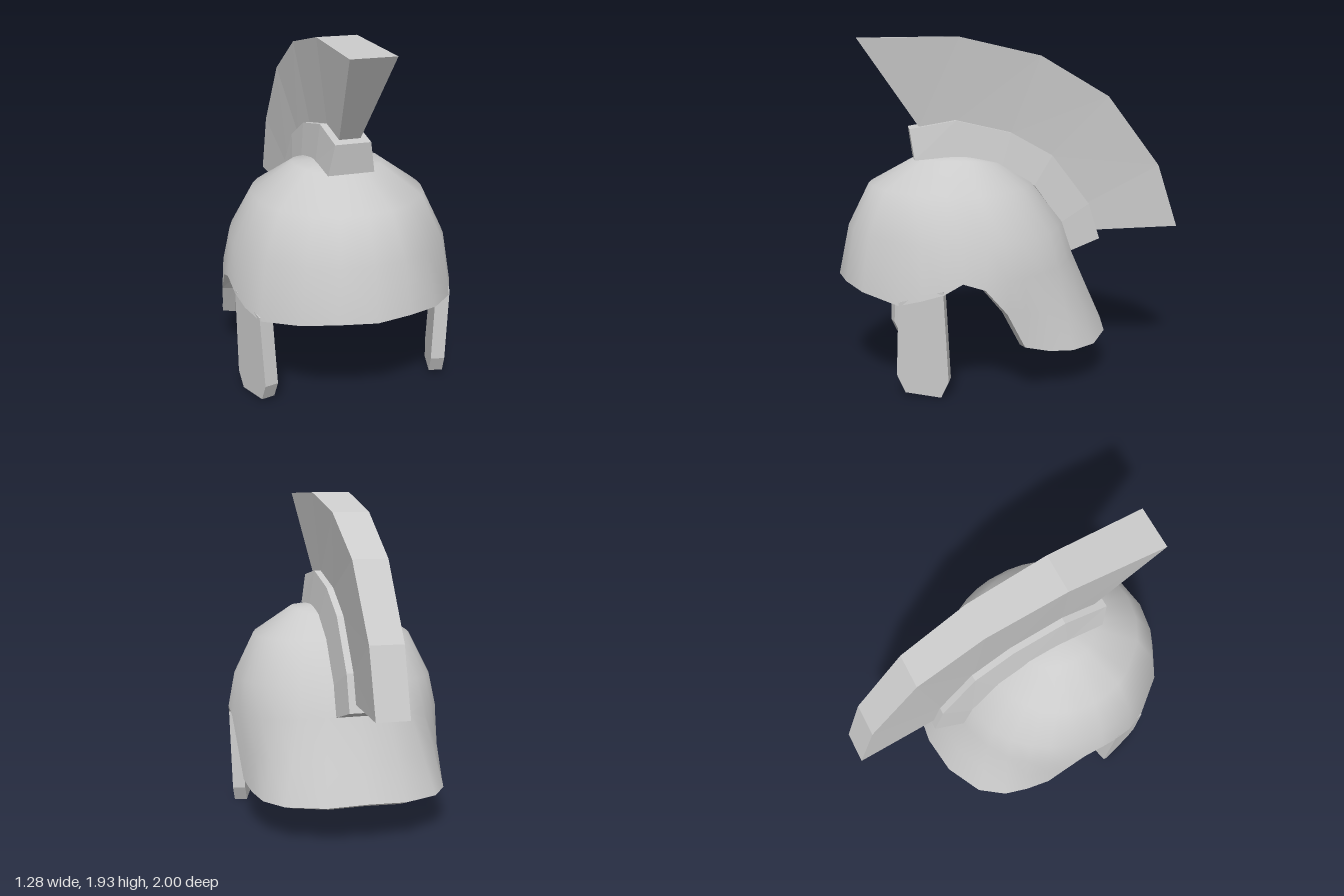
import * as THREE from 'three';

const smooth = new THREE.MeshStandardMaterial({ color: 0xcccccc });
const flat = new THREE.MeshStandardMaterial({ color: 0xcccccc, flatShading: true });
const THICK = 0.075;

function geometryFrom(points, index) {
  const g = new THREE.BufferGeometry();
  g.setAttribute('position', new THREE.Float32BufferAttribute(points.flat(), 3));
  g.setIndex(index);
  g.computeVertexNormals();
  return g;
}

function named(name, geometry, material) {
  const mesh = new THREE.Mesh(geometry, material);
  mesh.name = name;
  return mesh;
}

// Dome rings below the crown: half width, then [z, y] at the front and back, y at the side
const RINGS = [
  { w: 0.25, front: [0.56, 1.24], back: [0.06, 1.21], y: 1.245 },
  { w: 0.48, front: [0.82, 1.10], back: [-0.12, 1.10], y: 1.08 },
  { w: 0.60, front: [0.94, 0.86], back: [-0.30, 0.87], y: 0.83 },
  { w: 0.64, front: [1.00, 0.57], back: [-0.36, 0.69], y: 0.63 },
];
const MID_Z = 0.3;

// Columns from front to back on the left: angle, rows below the crown, rim x, y, z
const COLUMNS = [
  [0, 4, 0, 0.57, 1.0],
  [17, 4, 0.2, 0.57, 0.96],
  [34, 4, 0.38, 0.55, 0.87],
  [57, 4, 0.545, 0.51, 0.68],
  [67, 4, 0.6, 0.545, 0.56],
  [78, 4, 0.625, 0.58, 0.44],
  [87, 4, 0.64, 0.64, 0.34],
  [100, 4, 0.635, 0.6, 0.22],
  [109, 5, 0.625, 0.46, 0.1],
  [118, 6, 0.605, 0.265, 0],
  [129, 6, 0.58, 0.23, -0.14],
  [141, 6, 0.54, 0.215, -0.28],
  [153, 6, 0.44, 0.215, -0.42],
  [167, 6, 0.23, 0.225, -0.53],
  [180, 6, 0, 0.24, -0.56],
];

function ringPoint(ring, degrees) {
  const a = THREE.MathUtils.degToRad(degrees);
  const c = Math.cos(a);
  const s = Math.max(0, Math.sin(a));
  const [z, y] = c > 0 ? ring.front : ring.back;
  return [
    ring.w * (c > 0 ? s : Math.pow(s, 0.85)),
    ring.y + (y - ring.y) * c * c,
    MID_Z + (z - MID_Z) * Math.abs(c),
  ];
}

// One column of the shell, from just under the crown to the rim
function columnPoints([angle, rows, ...rim]) {
  const pts = RINGS.map((ring) => ringPoint(ring, angle));
  if (rows === 4) pts[3] = rim;
  const start = pts[3];
  for (let r = 5; r <= rows; r++) {
    const t = (r - 4) / (rows - 4);
    pts.push(start.map((v, k) => v + (rim[k] - v) * t));
  }
  return pts;
}

function makeShell() {
  const left = COLUMNS.map(columnPoints);
  const right = left.slice(1, -1).reverse().map((col) => col.map(([x, y, z]) => [-x, y, z]));
  const columns = [...left, ...right];
  const points = [[0, 1.268, 0.32]];
  const starts = columns.map((col) => {
    const start = points.length;
    points.push(...col);
    return start;
  });
  const n = columns.length;
  const at = (c, r) => (r === 0 ? 0 : starts[c % n] + Math.min(r, columns[c % n].length) - 1);

  const index = [];
  const tri = (a, b, c) => { if (a !== b && b !== c && a !== c) index.push(a, b, c); };
  for (let c = 0; c < n; c++) {
    for (let r = 0; r < 6; r++) {
      tri(at(c, r), at(c, r + 1), at(c + 1, r + 1));
      tri(at(c, r), at(c + 1, r + 1), at(c + 1, r));
    }
  }
  const outer = geometryFrom(points, index);

  // Lining: the outer surface pushed inward along its normals
  const normal = outer.attributes.normal;
  const inside = points.map(([x, y, z], i) => [
    x - normal.getX(i) * THICK, y - normal.getY(i) * THICK, z - normal.getZ(i) * THICK,
  ]);
  const lining = geometryFrom(inside, index.slice().reverse());

  // Rim wall joining the two surfaces
  const rim = [];
  for (let c = 0; c < n; c++) {
    const a = at(c, 6), b = at(c + 1, 6);
    rim.push(points[a], inside[a], inside[b], points[a], inside[b], points[b]);
  }
  const group = new THREE.Group();
  group.name = 'helmetShell';
  group.add(
    named('outerShell', outer, smooth),
    named('lining', lining, smooth),
    named('rimEdge', geometryFrom(rim, rim.map((_, i) => i)), flat),
  );
  return group;
}

// Cheek guard: a cut plate leaned to follow the side of the shell
function makeCheekGuard(side) {
  const outline = [[0.68, 0.53], [0.695, 0.12], [0.65, 0.02], [0.46, 0], [0.42, 0.09], [0.445, 0.6]];
  const shape = new THREE.Shape(outline.map(([z, y]) => new THREE.Vector2(-z, y)));
  const g = new THREE.ExtrudeGeometry(shape, { depth: THICK, bevelEnabled: false });
  g.rotateY(Math.PI / 2);
  const p = g.attributes.position;
  for (let i = 0; i < p.count; i++) {
    const y = p.getY(i), z = p.getZ(i), depth = THICK - p.getX(i);
    const x = 0.625 - 0.31 * (z - 0.44) - 0.04 * (0.58 - y) - depth;
    p.setXYZ(i, x, y, z - 0.25 * depth);
  }
  if (side < 0) {
    g.scale(-1, 1, 1);
    // Mirroring flips the faces, so swap two corners of each
    for (let i = 0; i < p.count; i += 3) {
      const a = new THREE.Vector3().fromBufferAttribute(p, i);
      const b = new THREE.Vector3().fromBufferAttribute(p, i + 1);
      p.setXYZ(i, b.x, b.y, b.z);
      p.setXYZ(i + 1, a.x, a.y, a.z);
    }
  }
  g.computeVertexNormals();
  return named(side > 0 ? 'leftCheekGuard' : 'rightCheekGuard', g, flat);
}

// Solid band between a lower and an upper [z, y] line, with half widths from front to back
function makeBand(name, lower, upper, lowWidth, topWidth) {
  const points = [], index = [];
  const last = lower.length - 1;
  lower.forEach(([lz, ly], i) => {
    const [uz, uy] = upper[i];
    const t = (upper[0][0] - uz) / (upper[0][0] - upper[last][0]);
    const wl = THREE.MathUtils.lerp(...lowWidth, t);
    const wt = THREE.MathUtils.lerp(...topWidth, t);
    points.push([wl, ly, lz], [wt, uy, uz], [-wt, uy, uz], [-wl, ly, lz]);
    if (i === last) return;
    for (let j = 0; j < 4; j++) {
      const a = i * 4 + j, d = i * 4 + (j + 1) % 4;
      index.push(a, a + 4, d + 4, a, d + 4, d);
    }
  });
  const e = last * 4;
  index.push(0, 1, 2, 0, 2, 3, e, e + 2, e + 1, e, e + 3, e + 2);
  return named(name, geometryFrom(points, index), flat);
}

export function createModel() {
  const model = new THREE.Group();
  model.name = 'crestedHelmet';
  model.add(makeShell(), makeCheekGuard(1), makeCheekGuard(-1));

  model.add(makeBand('crestHolder',
    [[0.56, 1.24], [0.33, 1.25], [0.06, 1.19], [-0.13, 1.08], [-0.29, 0.86], [-0.35, 0.69]],
    [[0.585, 1.415], [0.32, 1.46], [0, 1.385], [-0.24, 1.25], [-0.46, 0.96], [-0.525, 0.75]],
    [0.13, 0.13], [0.1, 0.1]));

  model.add(makeBand('crestPlume',
    [[0.53, 1.425], [0.32, 1.45], [0, 1.375], [-0.23, 1.24], [-0.45, 0.955], [-0.51, 0.795]],
    [[0.87, 1.925], [0.3, 1.932], [-0.17, 1.825], [-0.57, 1.59], [-0.88, 1.18], [-1, 0.81]],
    [0.06, 0.06], [0.125, 0.092]));
  return model;
}
